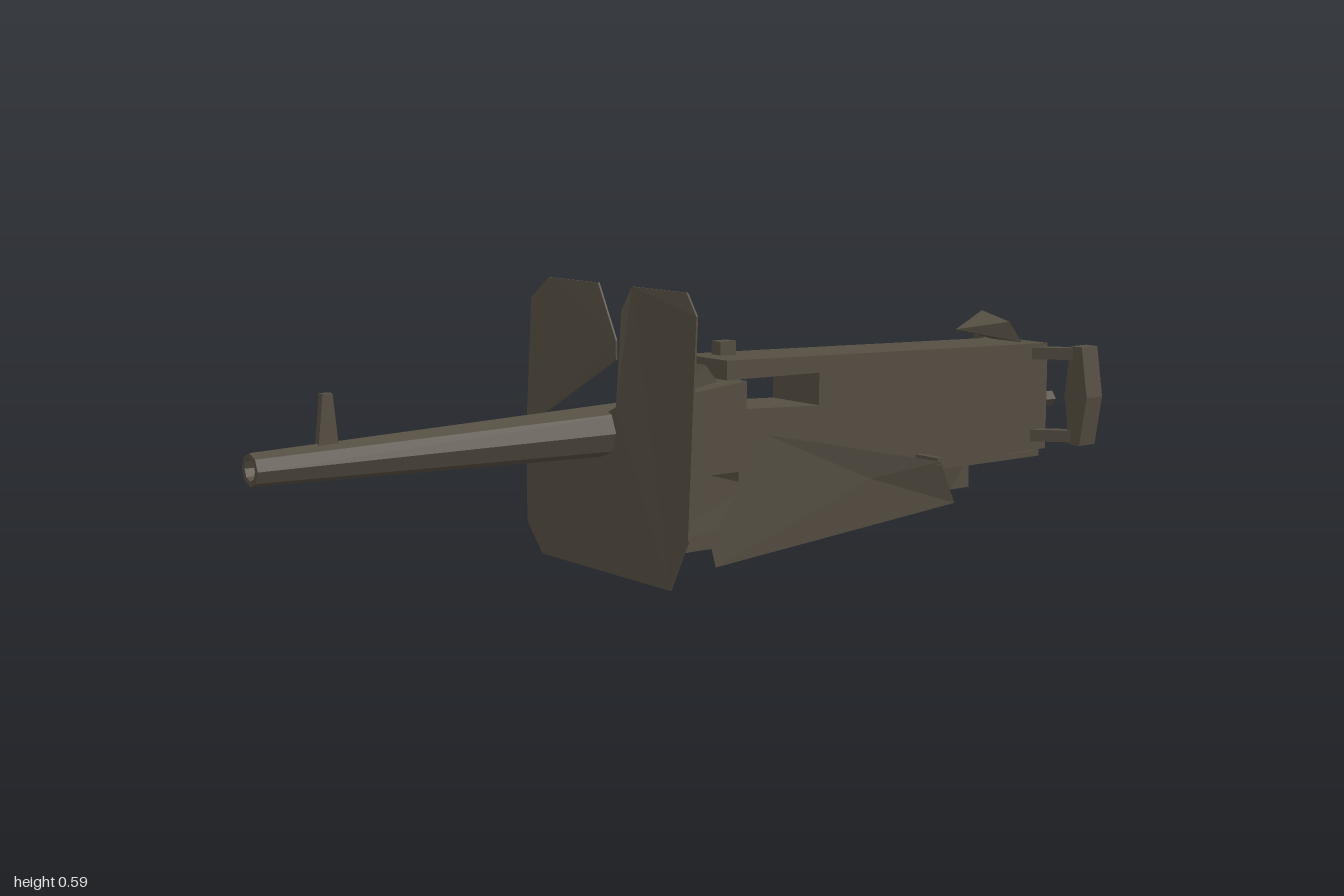
import * as THREE from 'three';
import { ConvexGeometry } from 'three/addons/geometries/ConvexGeometry.js';

const CZ = 0.122; // z of the long axis

export function createModel() {
  const root = new THREE.Group();
  const metal = new THREE.MeshStandardMaterial({ color: 0x554e42, flatShading: true, side: THREE.DoubleSide });
  metal.name = 'dark olive metal';

  const add = (name, geo) => {
    const m = new THREE.Mesh(geo, metal);
    m.name = name;
    root.add(m);
    return m;
  };
  // box from its minimum and maximum corners
  const box = (name, x0, x1, y0, y1, z0, z1) =>
    add(name, new THREE.BoxGeometry(x1 - x0, y1 - y0, z1 - z0)
      .translate((x0 + x1) / 2, (y0 + y1) / 2, (z0 + z1) / 2));
  // convex solid from corner points
  const hull = (name, pts) => add(name, new ConvexGeometry(pts.map(p => new THREE.Vector3(...p))));
  // side profile (x, y) carried straight across z
  const prism = (name, profile, z0, z1) =>
    hull(name, profile.flatMap(([x, y]) => [[x, y, z0], [x, y, z1]]));
  // rectangular bar between two points
  const bar = (name, a, b, t) => {
    const A = new THREE.Vector3(...a), B = new THREE.Vector3(...b);
    const m = add(name, new THREE.BoxGeometry(t, t, A.distanceTo(B)));
    m.position.copy(A).add(B).multiplyScalar(0.5);
    m.lookAt(B);
  };

  // tapered barrel with an open muzzle
  const barrel = add('barrel', new THREE.LatheGeometry([
    [0, 0.1], [0.02, 0.1], [0.02, 0], [0.03, 0], [0.055, 0.89],
  ].map(p => new THREE.Vector2(...p)), 8));
  barrel.rotation.z = -Math.PI / 2;
  barrel.position.set(-1, 0.308, 0.115);
  prism('frontSight', [[-0.87, 0.335], [-0.83, 0.335], [-0.84, 0.43], [-0.86, 0.43]], 0.108, 0.122);

  // receiver, left open at the feed slot
  const z0 = 0.05, z1 = 0.196;
  prism('receiverFront', [[-0.13, 0.21], [-0.12, 0.375], [0.04, 0.39], [0.04, 0.21]], z0, z1);
  prism('receiverLower', [[0.02, 0.19], [0.02, 0.335], [0.24, 0.325], [0.24, 0.165]], z0, z1);
  prism('receiverRear', [[0.23, 0.165], [0.23, 0.4], [0.9, 0.395], [0.9, 0.172]], z0, z1);
  prism('topCover', [[-0.01, 0.395], [-0.01, 0.434], [0.9, 0.408], [0.9, 0.385]], z0, z1);
  box('bottomPlate', 0.24, 0.88, 0.157, 0.17, z0, z1);
  prism('coverHinge', [[-0.09, 0.375], [-0.04, 0.425], [-0.01, 0.39]], 0.08, 0.165);
  box('coverLatch', 0.042, 0.082, 0.425, 0.46, 0.08, 0.11);
  prism('lowerLug', [[0.635, 0.103], [0.69, 0.103], [0.69, 0.17]], 0.072, 0.168);
  hull('rearSight', [[0.69, 0.445, 0.12], [0.81, 0.477, 0.08], [0.81, 0.458, 0.165],
    [0.85, 0.41, 0.165], [0.85, 0.41, 0.075]]);

  // trigger rod between the handles
  add('triggerRod', new THREE.CylinderGeometry(0.018, 0.018, 0.12, 5)
    .rotateZ(Math.PI / 2).translate(0.94, 0.268, 0.115));

  // mirrored handles and side plates
  for (const s of [-1, 1]) {
    const side = s > 0 ? 'left' : 'right';
    const z = d => CZ + s * d;
    const outline = [[0.132, 0.405], [0.165, 0.405], [0.183, 0.295], [0.165, 0.187], [0.135, 0.187], [0.118, 0.295]];
    hull(side + 'Handle', outline.flatMap(([d, y]) => [[0.91, y, z(d)], [0.96, y, z(d)]]));
    bar(side + 'HandleUpperArm', [0.86, 0.388, z(0.065)], [0.935, 0.388, z(0.148)], 0.026);
    bar(side + 'HandleLowerArm', [0.86, 0.205, z(0.065)], [0.935, 0.205, z(0.148)], 0.026);

    // thin faceted sheet, folded out at its upper rear corner
    const corners = [[-0.07, 0.035, 0.115], [-0.085, 0.09, 0.115], [0.06, 0.285, 0.115],
      [0.51, 0.19, 0.142], [0.58, 0.09, 0.115], [0.33, 0.17, 0.122]];
    const sheet = new THREE.BufferGeometry();
    sheet.setAttribute('position', new THREE.Float32BufferAttribute(
      corners.flatMap(([x, y, d]) => [x, y, z(d)]), 3));
    const faces = [0, 2, 1, 0, 5, 2, 0, 4, 5, 5, 4, 3, 5, 3, 2];
    sheet.setIndex(s > 0 ? faces : faces.reverse());
    sheet.computeVertexNormals();
    add(side + 'SidePlate', sheet);
    bar(side + 'SidePlateStay', [0.51, 0.19, z(0.06)], [0.51, 0.19, z(0.14)], 0.015);
  }

  // two-piece shield, bent slightly back toward the top
  const shield = (name, outline) => {
    const g = new THREE.ExtrudeGeometry(new THREE.Shape(outline.map(p => new THREE.Vector2(...p))),
      { depth: 0.004, bevelEnabled: false });
    const p = g.attributes.position;
    for (let i = 0; i < p.count; i++) {
      const z = p.getX(i), y = p.getY(i);
      p.setXYZ(i, -0.257 + p.getZ(i) + 0.3 * Math.max(0, y - 0.5), y, z);
    }
    // the axis swap reverses the winding
    for (let i = 0; i < p.count; i += 3) {
      const b = [p.getX(i + 1), p.getY(i + 1), p.getZ(i + 1)];
      p.setXYZ(i + 1, p.getX(i + 2), p.getY(i + 2), p.getZ(i + 2));
      p.setXYZ(i + 2, ...b);
    }
    g.computeVertexNormals();
    add(name, g);
  };
  shield('shieldMain', [[0.395, 0.55], [0.35, 0.59], [0.18, 0.59], [0.165, 0.545], [0.165, 0.36],
    [0.05, 0.305], [-0.145, 0.235], [-0.145, 0.09], [-0.09, 0.032], [0.335, 0.032], [0.39, 0.135]]);
  shield('shieldUpperRight', [[0.165, 0.488], [0.07, 0.59], [-0.1, 0.59], [-0.145, 0.548],
    [-0.145, 0.285], [0.165, 0.45]]);

  // ammunition box and the chute feeding the receiver
  box('ammoBox', 0.045, 0.205, 0, 0.233, -0.395, -0.038);
  const chute = [
    [0.06, 0.04, 0.13, 0.385, 0.305], [-0.02, 0.04, 0.2, 0.355, 0.262],
    [-0.08, 0.04, 0.2, 0.3, 0.228], [-0.155, 0.1, 0.2, 0.235, 0.225],
  ];
  for (let i = 0; i < 3; i++) {
    hull('feedChute' + (i + 1), [chute[i], chute[i + 1]].flatMap(([z, a, b, top, low]) =>
      [[a, top, z], [b, top, z], [a, low, z], [b, low, z]]));
  }
  return root;
}
